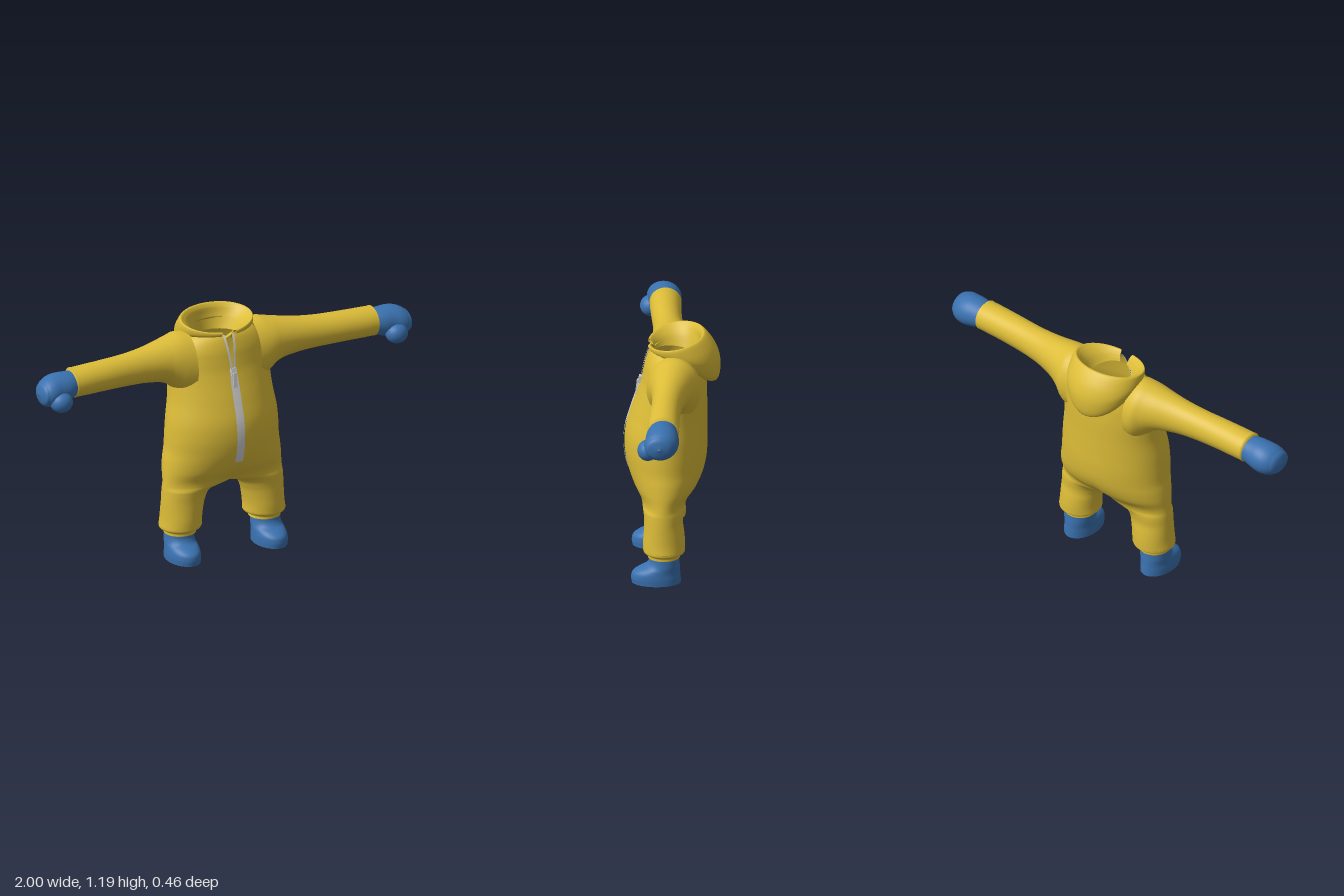
import * as THREE from 'three';
import { ParametricGeometry } from 'three/addons/geometries/ParametricGeometry.js';

// Smooth interpolation through rows of [t, ...values]
function track(rows) {
  const size = rows[0].length - 1;
  const curve = new THREE.CubicInterpolant(rows.map((r) => r[0]), rows.flatMap((r) => r.slice(1)), size, new Array(size));
  return (t) => [...curve.evaluate(t)];
}

// Oval cross-sections [t, u0, u1, v0, v1] lofted along x (u = y, v = z) or along y (u = z, v = x)
function loft(rows, axis, around, along, ease = (v) => v) {
  const at = track(rows);
  const start = rows[0][0], end = rows[rows.length - 1][0];
  return new ParametricGeometry((a, b, p) => {
    const t = THREE.MathUtils.lerp(start, end, ease(b));
    const [u0, u1, v0, v1] = at(t);
    const u = (u0 + u1) / 2 + (u1 - u0) / 2 * Math.cos(a * Math.PI * 2);
    const v = (v0 + v1) / 2 + (v1 - v0) / 2 * Math.sin(a * Math.PI * 2);
    if (axis === 'x') p.set(t, u, v);
    else p.set(v, t, u);
  }, around, along);
}

// Copy of a geometry reflected to the other side
function mirrored(geometry) {
  const g = geometry.clone().scale(-1, 1, 1);
  const index = g.index.array;
  for (let i = 0; i < index.length; i += 3) [index[i], index[i + 1]] = [index[i + 1], index[i]];
  return g;
}

// Body sections: y, back z, front z, inner x, outer x (negative inner x means the halves merge)
const CROTCH = 0.365, TOP = 1.12;
const bodyAt = track([
  [0.165, -0.06, 0.14, 0.12, 0.33],
  [0.2, -0.06, 0.14, 0.12, 0.325],
  [0.25, -0.056, 0.137, 0.113, 0.322],
  [0.3, -0.05, 0.135, 0.1, 0.32],
  [0.34, -0.054, 0.138, 0.075, 0.318],
  [0.356, -0.057, 0.141, 0.045, 0.317],
  [CROTCH, -0.06, 0.143, 0, 0.316],
  [0.375, -0.063, 0.145, -0.05, 0.315],
  [0.4, -0.075, 0.153, -0.11, 0.313],
  [0.45, -0.118, 0.184, -0.2, 0.31],
  [0.5, -0.145, 0.207, -0.27, 0.304],
  [0.55, -0.159, 0.222, -0.295, 0.295],
  [0.62, -0.165, 0.23, -0.29, 0.29],
  [0.7, -0.165, 0.225, -0.283, 0.283],
  [0.8, -0.164, 0.198, -0.268, 0.268],
  [0.9, -0.163, 0.165, -0.262, 0.262],
  [0.95, -0.16, 0.15, -0.258, 0.258],
  [1.0, -0.155, 0.14, -0.25, 0.25],
  [1.05, -0.145, 0.13, -0.23, 0.23],
  [1.1, -0.132, 0.112, -0.18, 0.18],
  [TOP, -0.122, 0.1, -0.14, 0.14],
]);

// Half-width of the open neck slit
const slit = (y) => Math.max(0, y - 0.95) * 0.12;

function section(y) {
  const [zb, zf, xi, xo] = bodyAt(y);
  return { cz: (zb + zf) / 2, rz: (zf - zb) / 2, cx: (xi + xo) / 2, rx: (xo - xi) / 2 };
}

function frontZ(x, y) {
  const s = section(y);
  return s.cz + s.rz * Math.sqrt(Math.max(0, 1 - ((x - s.cx) / s.rx) ** 2));
}

// Left half of torso and leg in one skin
function halfBody() {
  const g = new ParametricGeometry((a, b, p) => {
    const y = b <= 0.25
      ? 0.165 + (CROTCH - 0.165) * (1 - (1 - b / 0.25) ** 2)
      : CROTCH + (TOP - CROTCH) * ((b - 0.25) / 0.75) ** 1.4;
    const s = section(y);
    const from = Math.asin(Math.max(-1, (slit(y) - s.cx) / s.rx));
    const to = Math.PI - Math.asin(Math.max(-1, -s.cx / s.rx));
    const angle = THREE.MathUtils.lerp(from, to, a);
    p.set(s.cx + s.rx * Math.sin(angle), y, s.cz + s.rz * Math.cos(angle));
  }, 48, 112);
  // Smooth shading across the centre seam
  const pos = g.attributes.position, nor = g.attributes.normal;
  const n = new THREE.Vector3();
  for (let i = 0; i < pos.count; i++) {
    if (Math.abs(pos.getX(i)) > 1e-4 || pos.getY(i) < CROTCH + 0.002) continue;
    n.fromBufferAttribute(nor, i).setX(0).normalize();
    nor.setXYZ(i, n.x, n.y, n.z);
  }
  return g;
}

// Folded-down hood: x radius, front z, back z, front y, back y, falloff towards the back
function hoodGeometry() {
  const at = track([
    [0, 0.1, 0.085, -0.12, 1.09, 1.06, 0.8],
    [1, 0.13, 0.095, -0.13, 1.115, 1.13, 0.8],
    [2, 0.165, 0.11, -0.135, 1.135, 1.172, 0.8],
    [3, 0.185, 0.12, -0.155, 1.132, 1.185, 0.8],
    [4, 0.19, 0.12, -0.205, 1.122, 1.12, 1.6],
    [5, 0.185, 0.115, -0.227, 1.117, 1.04, 2],
    [6, 0.17, 0.105, -0.213, 1.112, 0.955, 2],
    [7, 0.13, 0.085, -0.15, 1.105, 0.95, 2],
  ]);
  return new ParametricGeometry((a, b, p) => {
    const phi = THREE.MathUtils.lerp(0.2, Math.PI * 2 - 0.2, a);
    const [rx, zf, zb, yf, yb, fall] = at(b * 7);
    const back = ((1 - Math.cos(phi)) / 2) ** fall;
    p.set(rx * Math.sin(phi), yf + (yb - yf) * back, (zf + zb) / 2 + (zf - zb) / 2 * Math.cos(phi));
  }, 72, 35);
}

export function createModel() {
  const model = new THREE.Group();
  model.name = 'hoodedSuit';
  const material = (name, color, side = THREE.FrontSide) => {
    const m = new THREE.MeshStandardMaterial({ color, side });
    m.name = name;
    return m;
  };
  const yellow = material('yellowCloth', 0xdcbc38, THREE.DoubleSide);
  const blue = material('blueMittenAndBoot', 0x3a72b0);
  const silver = material('silverZip', 0xd0d0d0, THREE.DoubleSide);

  const add = (name, geometry, mat) => {
    const mesh = new THREE.Mesh(geometry, mat);
    mesh.name = name;
    model.add(mesh);
    return mesh;
  };
  const pair = (name, geometry, mat) => {
    add('left' + name, geometry, mat);
    add('right' + name, mirrored(geometry), mat);
  };

  pair('BodyHalf', halfBody(), yellow);
  add('hood', hoodGeometry(), yellow);

  // Sleeves flare into the shoulders and turn in at the wrist
  pair('Sleeve', loft([
    [0.17, 0.8, 1.128, -0.135, 0.125],
    [0.22, 0.825, 1.13, -0.135, 0.12],
    [0.26, 0.865, 1.123, -0.115, 0.113],
    [0.3, 0.895, 1.115, -0.098, 0.105],
    [0.4, 0.92, 1.098, -0.066, 0.097],
    [0.5, 0.929, 1.088, -0.048, 0.098],
    [0.65, 0.934, 1.083, -0.038, 0.108],
    [0.8, 0.936, 1.079, -0.035, 0.115],
    [0.815, 0.937, 1.078, -0.034, 0.114],
    [0.82, 0.948, 1.066, -0.024, 0.104],
  ], 'x', 40, 60), yellow);

  // Gathered ankle cuffs
  pair('AnkleCuff', loft([
    [0.127, -0.036, 0.118, 0.15, 0.306],
    [0.145, -0.04, 0.122, 0.148, 0.31],
    [0.152, -0.055, 0.135, 0.13, 0.325],
    [0.168, -0.06, 0.14, 0.12, 0.33],
  ], 'y', 40, 14), yellow);

  // Boots with flat soles
  pair('Boot', loft([
    [0, -0.04, 0.194, 0.156, 0.312],
    [0.03, -0.039, 0.197, 0.156, 0.313],
    [0.055, -0.037, 0.188, 0.157, 0.311],
    [0.072, -0.036, 0.162, 0.158, 0.309],
    [0.086, -0.035, 0.132, 0.16, 0.307],
    [0.105, -0.033, 0.115, 0.161, 0.305],
    [0.14, -0.03, 0.109, 0.162, 0.303],
  ], 'y', 40, 24), blue);
  const sole = new THREE.CircleGeometry(1, 40).rotateX(Math.PI / 2).scale(0.078, 1, 0.117).translate(0.234, 0, 0.077);
  pair('Sole', sole, blue);

  // Mittens with thumbs
  pair('Mitten', loft([
    [0.8, 0.945, 1.065, -0.025, 0.105],
    [0.85, 0.927, 1.069, -0.031, 0.12],
    [0.9, 0.915, 1.07, -0.036, 0.125],
    [0.94, 0.915, 1.062, -0.03, 0.13],
    [0.97, 0.925, 1.046, -0.012, 0.124],
    [0.99, 0.946, 1.025, 0.014, 0.108],
    [1, 0.984, 0.99, 0.056, 0.062],
  ], 'x', 36, 32, (v) => 1 - (1 - v) ** 2), blue);
  pair('Thumb', new THREE.SphereGeometry(1, 24, 16).scale(0.056, 0.05, 0.05).translate(0.905, 0.95, 0.113), blue);

  // Zip tape follows the chest and parts along the neck slit
  pair('ZipTape', new ParametricGeometry((a, b, p) => {
    const y = THREE.MathUtils.lerp(0.5, TOP, b);
    const inner = slit(y), outer = Math.max(0.021 - Math.max(0, y - 0.9) * 0.1, inner + 0.011);
    const x = THREE.MathUtils.lerp(inner, outer, a);
    p.set(x, y, frontZ(x, y) + 0.005);
  }, 2, 48), silver);
  const slider = add('zipSlider', new THREE.BoxGeometry(0.03, 0.036, 0.014), silver);
  slider.position.set(0, 0.945, 0.157);
  slider.rotation.x = -0.25;
  const pull = add('zipPull', new THREE.BoxGeometry(0.018, 0.075, 0.007), silver);
  pull.position.set(0, 0.905, 0.172);
  pull.rotation.x = -0.12;

  return model;
}
